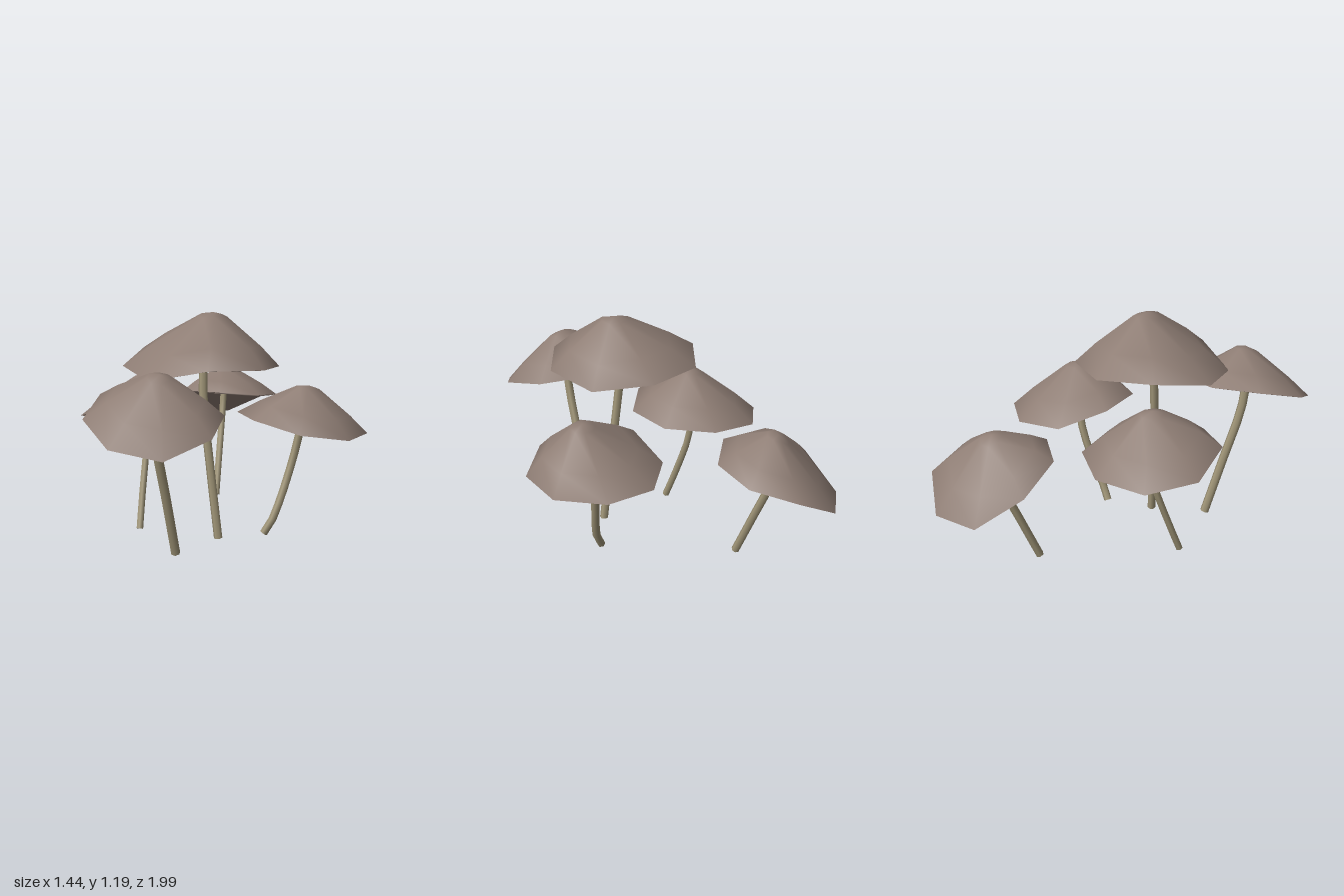
import * as THREE from 'three';

const SIDES = 8;
// [radius, height] as fractions: crown, shoulder, rim, lip, then the hollow underside
const PROFILE = [[0, 1], [0.18, 0.93], [0.7, 0.38], [1, 0], [0.92, -0.02], [0.66, 0.33], [0.18, 0.86], [0, 0.93]];

// c: rim centre (x, z), r: rim radius, rim: heights of the wavy rim from +x round by +z,
// apex: crown point, spin: turn in degrees, stem: points from foot to cap, w: stem radius
const MUSHROOMS = [
  { name: 'centre', c: [0.03, 0.13], r: 0.4, apex: [0.09, 1.19, 0.11], spin: 4, w: 0.022,
    rim: [0.935, 0.955, 0.89, 0.92, 0.97, 0.95, 0.94, 0.905],
    stem: [[0.148, 0.02, 0.148], [0.1, 0.38, 0.15], [0.05, 0.78, 0.145], [0.035, 1.05, 0.115]] },
  { name: 'front', c: [0.15, 0.665], r: 0.333, apex: [0.17, 0.96, 0.645], spin: 0, w: 0.024,
    rim: [0.7, 0.63, 0.67, 0.76, 0.83, 0.83, 0.79, 0.755],
    stem: [[0.095, 0.012, 0.44], [0.115, 0.33, 0.54], [0.13, 0.62, 0.63], [0.135, 0.86, 0.66]] },
  { name: 'left', c: [0.387, -0.275], r: 0.342, apex: [0.44, 0.8, -0.245], spin: 15, w: 0.021,
    rim: [0.555, 0.6, 0.65, 0.64, 0.56, 0.54, 0.54, 0.54],
    stem: [[0.275, 0.008, -0.09], [0.312, 0.08, -0.112], [0.368, 0.4, -0.22], [0.42, 0.7, -0.255]] },
  { name: 'right', c: [-0.38, 0.09], r: 0.349, apex: [-0.36, 0.832, 0.095], spin: 11, w: 0.019,
    rim: [0.62, 0.645, 0.665, 0.59, 0.56, 0.575, 0.6, 0.61],
    stem: [[-0.295, 0.012, 0.25], [-0.327, 0.19, 0.185], [-0.36, 0.46, 0.1], [-0.345, 0.74, 0.09]] },
  { name: 'back', c: [-0.41, -0.695], r: 0.312, apex: [-0.4, 0.75, -0.69], spin: 15, w: 0.021,
    rim: [0.62, 0.65, 0.64, 0.54, 0.405, 0.41, 0.53, 0.585],
    stem: [[-0.315, 0.02, -0.48], [-0.357, 0.25, -0.57], [-0.4, 0.5, -0.665], [-0.41, 0.66, -0.695]] },
];

// Thin eight-sided shell with a leaning crown and a wavy rim
function capGeometry({ c, r, rim, apex, spin }) {
  const base = rim.reduce((sum, y) => sum + y, 0) / SIDES;
  const pos = [], index = [], start = [];
  for (const [fr, fh] of PROFILE) {
    start.push(pos.length / 3);
    const count = fr === 0 ? 1 : SIDES;
    for (let i = 0; i < count; i++) {
      const a = (i / SIDES) * Math.PI * 2 + THREE.MathUtils.degToRad(spin);
      pos.push(
        THREE.MathUtils.lerp(c[0], apex[0], fh) + Math.cos(a) * r * fr,
        THREE.MathUtils.lerp(base, apex[1], fh) + (rim[i] - base) * fr,
        THREE.MathUtils.lerp(c[1], apex[2], fh) + Math.sin(a) * r * fr);
    }
  }
  const last = PROFILE.length - 1;
  for (let k = 0; k < last; k++) {
    for (let i = 0; i < SIDES; i++) {
      const j = (i + 1) % SIDES;
      const a = start[k], b = start[k + 1];
      if (k === 0) index.push(a, b + j, b + i);
      else if (k === last - 1) index.push(a + i, a + j, b);
      else index.push(a + i, a + j, b + i, a + j, b + j, b + i);
    }
  }
  const g = new THREE.BufferGeometry();
  g.setAttribute('position', new THREE.Float32BufferAttribute(pos, 3));
  g.setIndex(index);
  g.computeVertexNormals();
  return g;
}

export function createModel() {
  const capMat = new THREE.MeshStandardMaterial({ color: 0x8e7d74 });
  capMat.name = 'greyBrownCap';
  const stemMat = new THREE.MeshStandardMaterial({ color: 0xa3987a });
  stemMat.name = 'paleOliveStem';

  const model = new THREE.Group();
  model.name = 'mushroomCluster';
  for (const m of MUSHROOMS) {
    const mushroom = new THREE.Group();
    mushroom.name = m.name + 'Mushroom';

    const cap = new THREE.Mesh(capGeometry(m), capMat);
    cap.name = 'cap';

    const path = new THREE.CatmullRomCurve3(m.stem.map((p) => new THREE.Vector3(...p)));
    const stem = new THREE.Mesh(new THREE.TubeGeometry(path, 8, m.w, 6), stemMat);
    stem.name = 'stem';

    // Disc closing the foot of the stem
    const foot = new THREE.Mesh(new THREE.CircleGeometry(m.w, 6), stemMat);
    foot.name = 'foot';
    foot.position.copy(path.getPoint(0));
    foot.lookAt(foot.position.clone().sub(path.getTangent(0)));

    mushroom.add(cap, stem, foot);
    model.add(mushroom);
  }
  return model;
}
